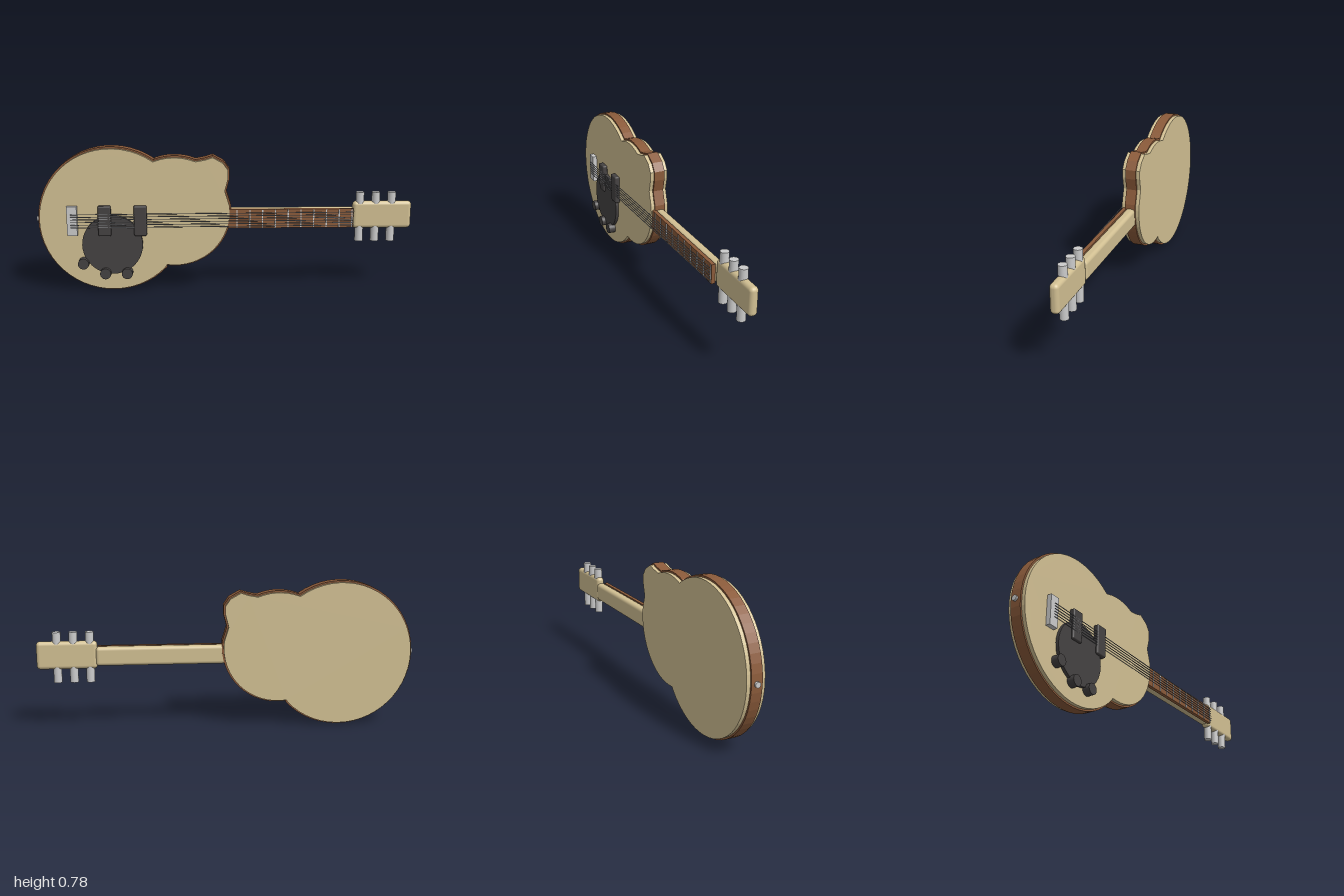
import * as THREE from 'three';
import { RoundedBoxGeometry } from 'three/addons/geometries/RoundedBoxGeometry.js';

const mat = (name, color) => {
  const m = new THREE.MeshStandardMaterial({ color });
  m.name = name;
  return m;
};

// Points along a circular arc, angles in degrees
function arc(cx, cy, r, a0, a1, n) {
  return Array.from({ length: n + 1 }, (_, i) => {
    const a = THREE.MathUtils.degToRad(a0 + (a1 - a0) * i / n);
    return new THREE.Vector2(cx + r * Math.cos(a), cy + r * Math.sin(a));
  });
}

// Counter-clockwise body outline: big lobe, lower bout, horn, upper bout
function bodyOutline() {
  const horn = [[0.004, 0.545], [0.021, 0.61], [0.021, 0.658], [-0.008, 0.7], [-0.067, 0.733], [-0.11, 0.72]];
  return [
    ...arc(-0.6, 0.392, 0.39, 54.9, 317, 40),
    ...arc(-0.27, 0.433, 0.3, -98, 7, 16),
    ...horn.map(p => new THREE.Vector2(...p)),
    ...arc(-0.27, 0.433, 0.3, 68, 110, 7),
  ];
}

// Move every outline point inward along its averaged normal
function inset(pts, d) {
  return pts.map((p, i) => {
    const a = pts[(i + pts.length - 1) % pts.length], b = pts[(i + 1) % pts.length];
    const t = b.clone().sub(a).normalize();
    return new THREE.Vector2(p.x - t.y * d, p.y + t.x * d);
  });
}

function slab(pts, z0, z1) {
  const g = new THREE.ExtrudeGeometry(new THREE.Shape(pts), { depth: z1 - z0, bevelEnabled: false });
  return g.translate(0, 0, z0);
}

export function createModel() {
  const group = new THREE.Group();
  const maple = mat('maple', 0xd2c093);
  const wood = mat('brownWood', 0x8a5a3a);
  const black = mat('black', 0x454242);
  const silver = mat('silver', 0xcccccc);
  const steel = mat('stringSteel', 0x8c8f94);

  const add = (name, geometry, material, x = 0, y = 0, z = 0) => {
    const m = new THREE.Mesh(geometry, material);
    m.name = name;
    m.position.set(x, y, z);
    group.add(m);
    return m;
  };

  // Body: brown core between two slightly smaller pale plates
  const outline = bodyOutline();
  const small = inset(outline, 0.009);
  add('bodyCore', slab(outline, -0.047, 0.01), wood);
  add('bodyTop', slab(small, 0.01, 0.029), maple);
  add('bodyBack', slab(small, -0.066, -0.047), maple);

  // Neck, fretboard and headstock
  add('neck', new RoundedBoxGeometry(0.72, 0.1, 0.05, 3, 0.018), maple, 0.33, 0.395, -0.02);
  add('fretboard', new THREE.BoxGeometry(0.68, 0.102, 0.02), wood, 0.34, 0.394, 0.013);
  add('headstock', new RoundedBoxGeometry(0.315, 0.147, 0.046, 4, 0.02), maple, 0.838, 0.404, -0.019);

  // Frets
  for (let i = 0; i < 10; i++) {
    add('fret', new THREE.BoxGeometry(0.006, 0.096, 0.005), silver, 0.06 + i * 0.068, 0.394, 0.024);
  }

  // Tuner posts through the headstock
  for (const x of [0.72, 0.805, 0.89]) {
    add('tuner', new THREE.CylinderGeometry(0.022, 0.022, 0.268, 20), silver, x, 0.393, -0.019);
  }

  // Bridge and pickups
  add('bridge', new THREE.BoxGeometry(0.053, 0.158, 0.025), silver, -0.808, 0.393, 0.041);
  for (const x of [-0.638, -0.45]) {
    add('pickup', new RoundedBoxGeometry(0.068, 0.162, 0.03, 2, 0.008), black, x, 0.393, 0.043);
  }

  // Pickguard disc and control knobs
  add('pickguard', new THREE.CylinderGeometry(0.16, 0.16, 0.018, 40).rotateX(Math.PI / 2), black, -0.6, 0.262, 0.037);
  for (const [x, y] of [[-0.755, 0.163], [-0.64, 0.107], [-0.525, 0.107]]) {
    add('knob', new THREE.CylinderGeometry(0.029, 0.029, 0.04, 24).rotateX(Math.PI / 2), black, x, y, 0.048);
  }

  // Strings, descending from the bridge to the nut
  for (let i = 0; i < 6; i++) {
    const y = 0.36 + i * 0.0142;
    const path = new THREE.LineCurve3(new THREE.Vector3(-0.815, y, 0.06), new THREE.Vector3(0.68, y - 0.003, 0.03));
    add('string', new THREE.TubeGeometry(path, 1, 0.0022, 6), steel);
  }

  // Strap button on the tail end
  add('strapButton', new THREE.CylinderGeometry(0.014, 0.014, 0.03, 16).rotateZ(Math.PI / 2), silver, -0.985, 0.393, -0.019);

  return group;
}
